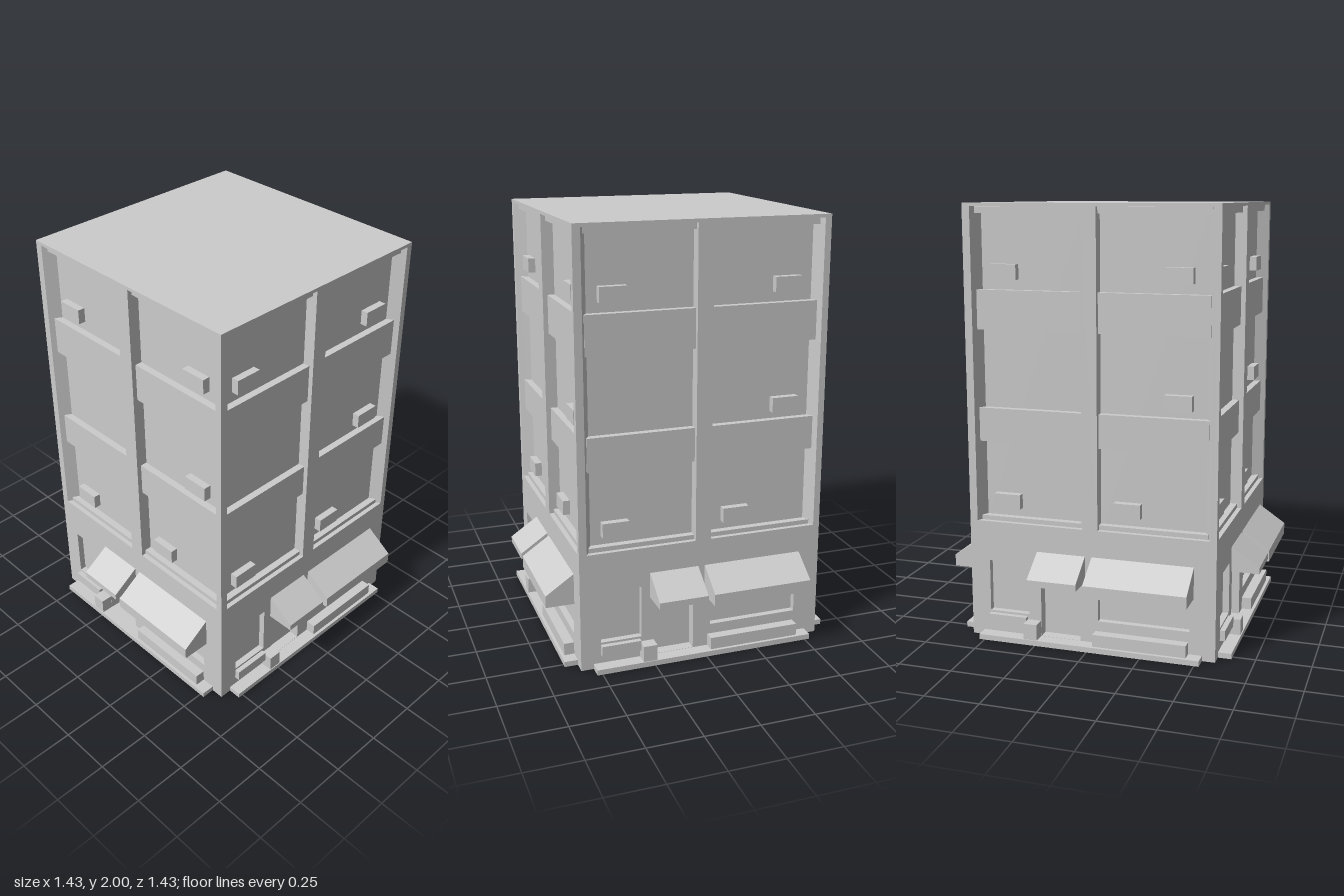
import * as THREE from 'three';

const HALF = 0.583; // half width of the tower

const material = new THREE.MeshStandardMaterial({ color: 0xcccccc, side: THREE.DoubleSide });
material.name = 'light grey';

function add(group, name, geometry) {
  const mesh = new THREE.Mesh(geometry, material);
  mesh.name = name;
  group.add(mesh);
  return mesh;
}

// Box given by its limits on each axis
function block(group, name, x0, x1, y0, y1, z0, z1) {
  const mesh = add(group, name, new THREE.BoxGeometry(x1 - x0, y1 - y0, z1 - z0));
  mesh.position.set((x0 + x1) / 2, (y0 + y1) / 2, (z0 + z1) / 2);
}

function rectPath(Type, x0, x1, y0, y1) {
  const path = new Type();
  path.moveTo(x0, y0).lineTo(x1, y0).lineTo(x1, y1).lineTo(x0, y1).closePath();
  return path;
}

// Open-fronted niche: four reveals and a back panel, sides may slant inwards
function niche(group, name, { x0, x1, y0, y1, depth, slantL = 0, slantR = 0 }) {
  const zi = HALF - depth;
  const outer = [[x0, y0, HALF], [x1, y0, HALF], [x1, y1, HALF], [x0, y1, HALF]];
  const inner = [[x0 + slantL, y0, zi], [x1 - slantR, y0, zi], [x1 - slantR, y1, zi], [x0 + slantL, y1, zi]];
  const points = [];
  const quad = (a, b, c, d) => points.push(...a, ...b, ...c, ...a, ...c, ...d);
  quad(...inner);
  for (let i = 0; i < 4; i++) {
    const j = (i + 1) % 4;
    quad(outer[i], outer[j], inner[j], inner[i]);
  }
  const geometry = new THREE.BufferGeometry();
  geometry.setAttribute('position', new THREE.Float32BufferAttribute(points, 3));
  geometry.computeVertexNormals();
  add(group, name, geometry);
}

// Sloping canopy with a short vertical valance, profile drawn in z and y
function awning(group, name, x0, x1, bottom) {
  const profile = new THREE.Shape();
  profile.moveTo(-HALF, bottom).lineTo(-0.715, bottom).lineTo(-0.715, 0.342)
    .lineTo(-HALF, 0.432).closePath();
  const geometry = new THREE.ExtrudeGeometry(profile, { depth: x1 - x0, bevelEnabled: false });
  geometry.rotateY(Math.PI / 2);
  geometry.translate(x0, 0, 0);
  add(group, name, geometry);
}

function createFacade() {
  const side = new THREE.Group();
  const openings = {
    leftBay: { x0: -0.547, x1: -0.037, y0: 0.557, y1: 1.985, depth: 0.055, slantL: 0.031 },
    rightBay: { x0: 0.037, x1: 0.553, y0: 0.557, y1: 1.985, depth: 0.055, slantR: 0.031 },
    smallWindow: { x0: -0.49, x1: -0.297, y0: 0.125, y1: 0.37, depth: 0.03 },
    door: { x0: -0.238, x1: -0.047, y0: 0.026, y1: 0.4, depth: 0.05 },
    shopWindow: { x0: 0.038, x1: 0.465, y0: 0.13, y1: 0.4, depth: 0.03 },
  };

  // Wall sheet with its openings
  const wall = rectPath(THREE.Shape, -HALF, HALF, 0, 2);
  for (const [name, o] of Object.entries(openings)) {
    wall.holes.push(rectPath(THREE.Path, o.x0, o.x1, o.y0, o.y1));
    niche(side, name, o);
  }
  add(side, 'wall', new THREE.ShapeGeometry(wall)).position.z = HALF;

  // Horizontal bands and ledges across both bays
  const bands = [[0.557, 0.578, 'lowerLedge'], [0.93, 1.085, 'band'], [1.442, 1.62, 'band'], [1.955, 1.984, 'topLedge']];
  for (const [y0, y1, name] of bands) {
    block(side, name, -0.533, -0.037, y0, y1, 0.528, 0.561);
    block(side, name, 0.037, 0.538, y0, y1, 0.528, 0.561);
  }

  // Air conditioning units
  for (const [x, y] of [[-0.405, 1.7], [-0.405, 0.652], [0.398, 1.7], [0.398, 1.153], [0.167, 0.652]]) {
    block(side, 'airUnit', x - 0.062, x + 0.062, y - 0.034, y + 0.034, 0.52, 0.562);
  }

  // Street level
  awning(side, 'narrowAwning', -0.255, -0.023, 0.312);
  awning(side, 'wideAwning', 0.008, 0.482, 0.286);
  block(side, 'plinth', -0.525, 0.523, 0, 0.025, 0.555, 0.645);
  block(side, 'windowSill', -0.49, -0.305, 0.066, 0.115, 0.56, 0.607);
  block(side, 'stepBlock', -0.305, -0.24, 0.025, 0.1, 0.57, 0.641);
  block(side, 'planter', 0.025, 0.46, 0.025, 0.082, 0.57, 0.63);
  return side;
}

export function createModel() {
  const model = new THREE.Group();
  model.name = 'towerBlock';

  // The same facade on all four sides
  ['front', 'left', 'back', 'right'].forEach((name, i) => {
    const side = createFacade();
    side.name = name + 'Facade';
    side.rotation.y = i * Math.PI / 2;
    model.add(side);
  });

  // Flat roof
  const roof = add(model, 'roof', new THREE.PlaneGeometry(2 * HALF, 2 * HALF));
  roof.rotation.x = -Math.PI / 2;
  roof.position.y = 2;
  return model;
}
